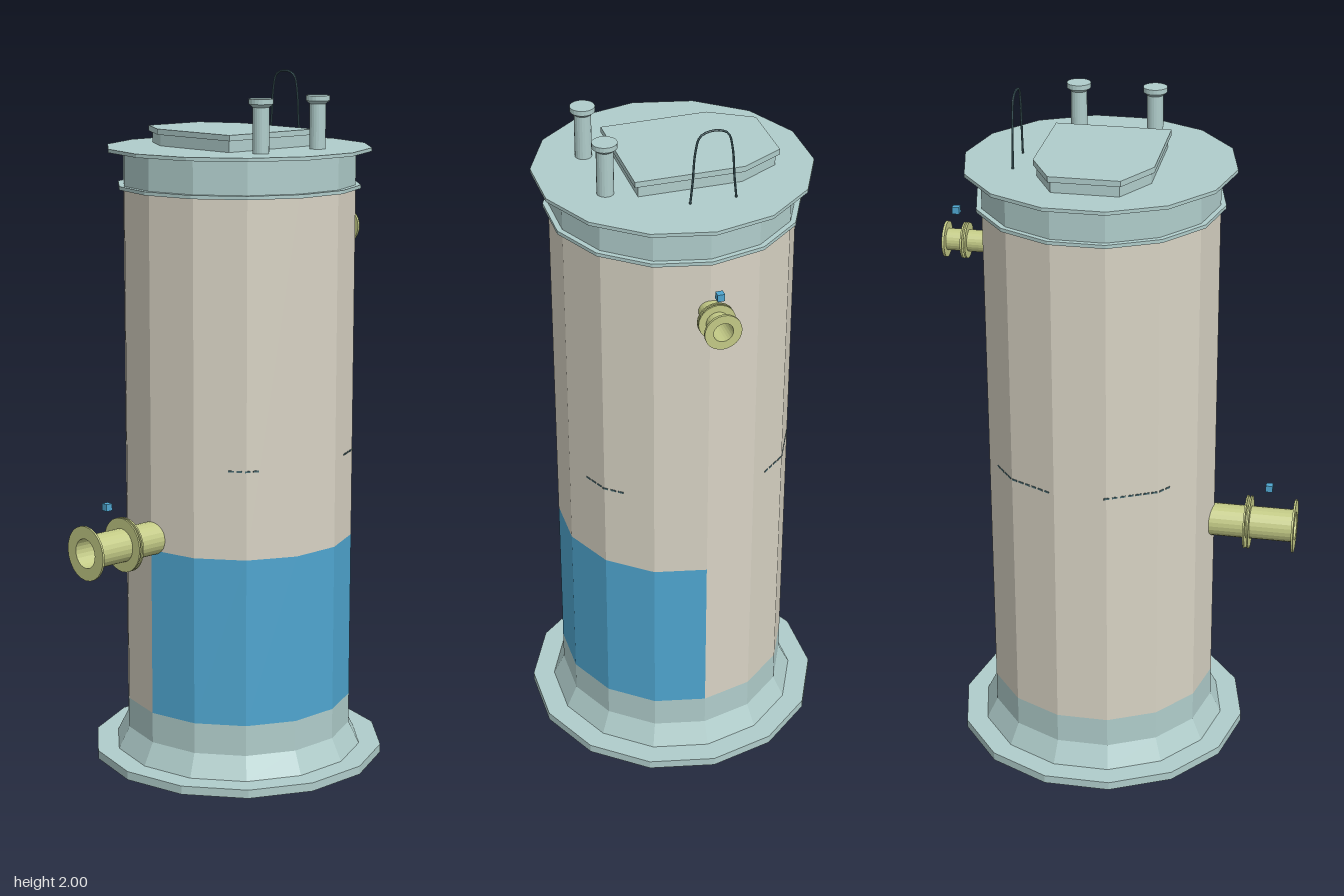
import * as THREE from 'three';

const SIDES = 14;
const CX = 0.065; // tank axis
const mat = (color, side = THREE.FrontSide) =>
  new THREE.MeshStandardMaterial({ color, flatShading: true, side });

export function createModel() {
  const root = new THREE.Group();
  const teal = mat(0xb0cdcb);
  const cream = mat(0xd8d3c4, THREE.DoubleSide);
  const blue = mat(0x4fa6d0, THREE.DoubleSide);
  const olive = mat(0xc3ca86, THREE.DoubleSide);
  const dark = mat(0x4a6a70);

  const add = (name, geometry, material, x = 0, y = 0, z = 0, parent = root) => {
    const mesh = new THREE.Mesh(geometry, material);
    mesh.name = name;
    mesh.position.set(x, y, z);
    parent.add(mesh);
    return mesh;
  };

  // Fourteen-sided ring between two heights, with a corner facing +x
  const drum = (name, rBottom, rTop, y0, y1, material, open = false, start = Math.PI / 2, sweep = Math.PI * 2) =>
    add(name, new THREE.CylinderGeometry(rTop, rBottom, y1 - y0,
      Math.round(SIDES * sweep / (Math.PI * 2)), 1, open, start, sweep),
    material, CX, (y0 + y1) / 2, 0);

  // Base plate, flared foot and lower band
  drum('basePlate', 0.431, 0.431, 0, 0.025, teal);
  drum('flaredFoot', 0.367, 0.335, 0.025, 0.09, teal, true);
  drum('lowerBand', 0.335, 0.335, 0.09, 0.18, teal, true);

  // Tank wall: blue panel on the lower front half, cream elsewhere
  drum('frontPanel', 0.335, 0.335, 0.18, 0.67, blue, true, -Math.PI / 2, Math.PI);
  drum('lowerBackWall', 0.335, 0.335, 0.18, 0.67, cream, true, Math.PI / 2, Math.PI);
  drum('upperWall', 0.335, 0.335, 0.67, 1.685, cream, true);

  // Neck and lid plate
  drum('neckRing', 0.35, 0.35, 1.682, 1.692, teal);
  drum('neckBand', 0.335, 0.335, 1.692, 1.787, teal, true);
  drum('lidPlate', 0.38, 0.38, 1.787, 1.797, teal);

  // Hatch with a slightly larger cover
  const outline = [[-0.04, -0.27], [0.155, -0.27], [0.22, -0.15], [0.22, 0.15], [-0.107, 0.15], [-0.11, -0.15]];
  const hatch = (name, scale, y, depth) => {
    const hx = 0.055, hz = -0.06;
    const shape = new THREE.Shape(outline.map(([x, z]) =>
      new THREE.Vector2((x - hx) * scale, -(z - hz) * scale)));
    const g = new THREE.ExtrudeGeometry(shape, { depth, bevelEnabled: false });
    g.rotateX(-Math.PI / 2);
    add(name, g, teal, hx, y, hz);
  };
  hatch('hatchFrame', 0.95, 1.797, 0.034);
  hatch('hatchCover', 1, 1.829, 0.016);

  // Two vent posts with flared caps
  const ventProfile = [[0.023, 0], [0.023, 0.125], [0.034, 0.134], [0.034, 0.148], [0.0001, 0.148]]
    .map(([r, y]) => new THREE.Vector2(r, y));
  for (const x of [-0.05, 0.167])
    add('ventPost', new THREE.LatheGeometry(ventProfile, 20), teal, x, 1.797, 0.215);

  // Wire handle
  const path = new THREE.CatmullRomCurve3([
    [1.79, 0.022], [1.86, 0.015], [1.94, 0.009], [1.985, -0.003], [1.997, -0.025],
    [1.997, -0.058], [1.985, -0.08], [1.94, -0.092], [1.86, -0.098], [1.79, -0.105],
  ].map(([y, z]) => new THREE.Vector3(0.287, y, z)));
  add('wireHandle', new THREE.TubeGeometry(path, 40, 0.003, 6), dark);

  // Hollow flanged pipes; each profile runs outward from the tank
  const pipe = (name, length, bore, r, flangeR, flanges, x, y, direction) => {
    const pts = [[bore, 0], [r, 0]];
    for (const [a, b] of flanges) pts.push([r, a], [flangeR, a], [flangeR, b], [r, b]);
    pts.pop();
    pts.push([bore, length], [bore, 0]);
    const g = new THREE.LatheGeometry(pts.map(p => new THREE.Vector2(...p)), 24);
    g.rotateZ(-direction * Math.PI / 2);
    add(name, g, olive, x, y, 0);
  };
  pipe('inletPipe', 0.12, 0.027, 0.031, 0.051,
    [[0.053, 0.058], [0.063, 0.068], [0.113, 0.12]], 0.39, 1.535, 1);
  pipe('outletPipe', 0.25, 0.042, 0.048, 0.078,
    [[0.103, 0.108], [0.114, 0.119], [0.244, 0.25]], -0.26, 0.705, -1);

  // Small marker blocks above the pipes
  add('inletMarker', new THREE.BoxGeometry(0.02, 0.02, 0.02), blue, 0.477, 1.625, 0);
  add('outletMarker', new THREE.BoxGeometry(0.02, 0.02, 0.02), blue, -0.43, 0.825, 0);

  // Dashed seam marks lying on the wall facets (angles in degrees from the front)
  const seam = new THREE.Group();
  seam.name = 'seamMarks';
  seam.position.set(CX, 0.925, 0);
  root.add(seam);
  const step = Math.PI * 2 / SIDES;
  const apothem = 0.335 * Math.cos(step / 2);
  for (const [from, to] of [[-48, -30], [25, 48], [125, 166], [191, 229]]) {
    for (let deg = from + 2; deg < to; deg += 4) {
      const a = deg * Math.PI / 180;
      const facet = Math.round(a / step) * step;
      const r = apothem / Math.cos(a - facet);
      const dash = add('seamDash', new THREE.BoxGeometry(0.016, 0.005, 0.003), dark,
        Math.sin(a) * r, 0, Math.cos(a) * r, seam);
      dash.rotation.y = facet;
    }
  }
  return root;
}
